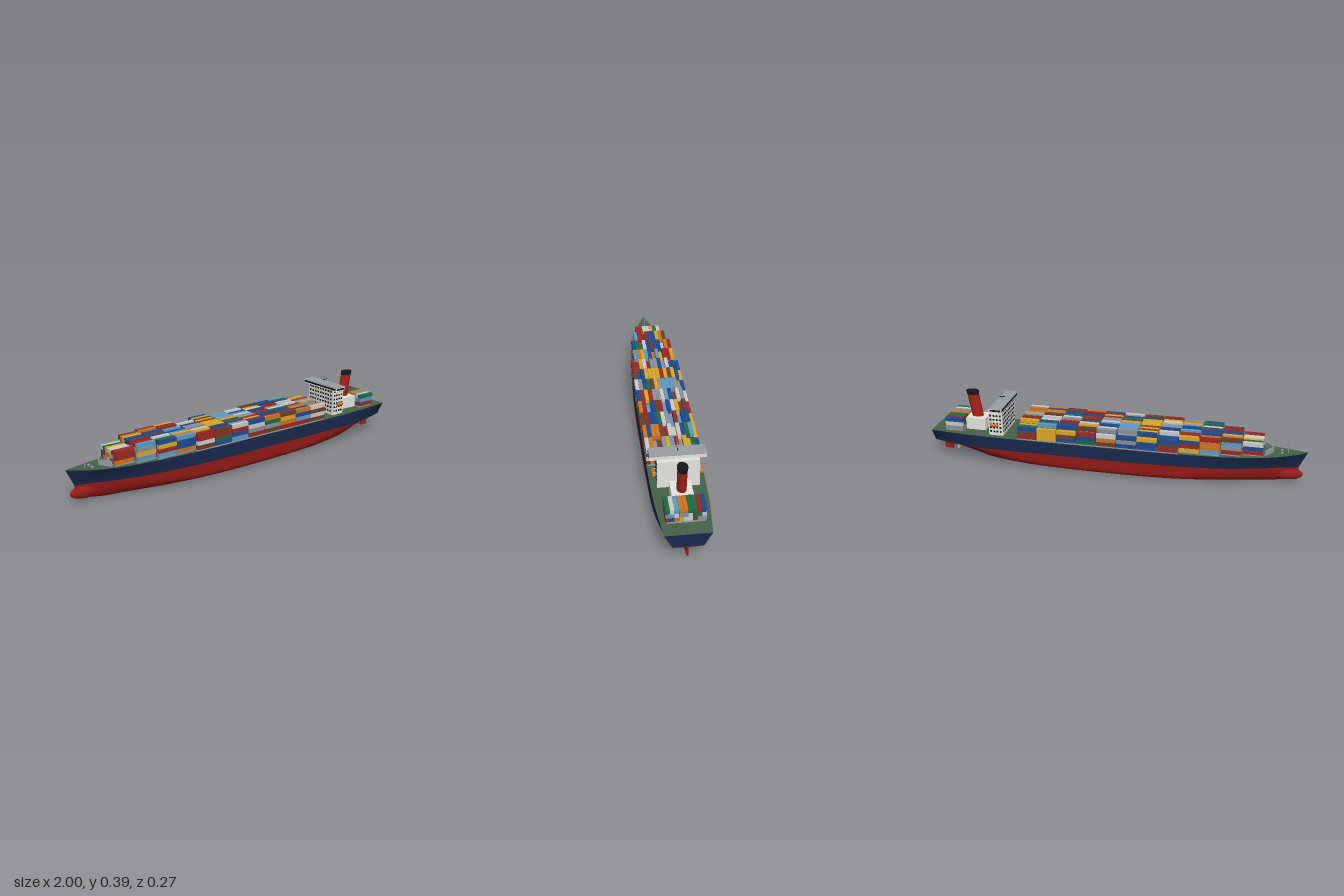
import * as THREE from 'three';
import { mergeGeometries } from 'three/addons/utils/BufferGeometryUtils.js';

const mat = (color, side = THREE.FrontSide) => new THREE.MeshStandardMaterial({ color, side });
const NAVY = mat(0x18284c), RED = mat(0x961c16, THREE.DoubleSide), GREEN = mat(0x46614a);
const WHITE = mat(0xe6e6e0), GREY = mat(0x9a9fa3), DARK = mat(0x15181c), FUNNEL = mat(0xa8201a);
const ORANGE = mat(0xe0701c), BRASS = mat(0xc09a50, THREE.DoubleSide);
const CARGO = [0x9c2820, 0x9c2820, 0x1c4a94, 0x1c4a94, 0x5a9ccb, 0xd07420, 0xdaa824, 0x1f6b42, 0x8d9296, 0xd4d4d0, 0x6a3f2c];

// Smooth interpolation through [x, value] pairs
function curve(pts) {
  const slope = i => {
    const a = pts[Math.max(i - 1, 0)], b = pts[Math.min(i + 1, pts.length - 1)];
    return (b[1] - a[1]) / (b[0] - a[0]);
  };
  return x => {
    let i = 0;
    while (i < pts.length - 2 && x > pts[i + 1][0]) i++;
    const [x0, y0] = pts[i], [x1, y1] = pts[i + 1], h = x1 - x0, t = (x - x0) / h;
    const t2 = t * t, t3 = t2 * t;
    return (2 * t3 - 3 * t2 + 1) * y0 + (t3 - 2 * t2 + t) * h * slope(i)
      + (3 * t2 - 2 * t3) * y1 + (t3 - t2) * h * slope(i + 1);
  };
}

// Skin a list of sections, each a list of [x, y, z]
function loft(sections) {
  const n = sections[0].length, index = [];
  for (let i = 0; i < sections.length - 1; i++) {
    for (let j = 0; j < n - 1; j++) {
      const a = i * n + j, b = a + n;
      index.push(a, b, a + 1, b, b + 1, a + 1);
    }
  }
  const g = new THREE.BufferGeometry();
  g.setAttribute('position', new THREE.Float32BufferAttribute(sections.flat(2), 3));
  g.setIndex(index);
  g.computeVertexNormals();
  return g;
}

function add(parent, name, geometry, material, x = 0, y = 0, z = 0) {
  const m = new THREE.Mesh(geometry, material);
  m.name = name;
  m.position.set(x, y, z);
  parent.add(m);
  return m;
}
const box = (w, h, d, x = 0, y = 0, z = 0) => new THREE.BoxGeometry(w, h, d).translate(x, y, z);

// Hull lines
const WATER = 0.09;
const deckHalf = curve([[-1, 0.001], [-0.95, 0.026], [-0.9, 0.045], [-0.8, 0.076], [-0.6, 0.11], [-0.4, 0.126], [-0.2, 0.132], [0.1, 0.133], [0.6, 0.132], [0.8, 0.125], [1, 0.107]]);
const waterHalf = curve([[-1, 0.001], [-0.9, 0.022], [-0.8, 0.051], [-0.6, 0.098], [-0.4, 0.122], [-0.2, 0.132], [0.1, 0.133], [0.6, 0.132], [0.75, 0.126], [0.9, 0.1], [1, 0.07]]);
const deckY = curve([[-1, 0.176], [-0.9, 0.167], [-0.75, 0.161], [-0.6, 0.16], [1, 0.16]]);
const keelY = curve([[-1, 0.03], [-0.92, 0.016], [-0.82, 0.003], [-0.7, 0], [0.6, 0], [0.7, 0.002], [0.8, 0.014], [0.86, 0.037], [0.92, 0.072], [1, 0.087]]);
const fullness = curve([[-1, 1.5], [-0.8, 1.9], [-0.6, 2.8], [-0.3, 5], [0, 6], [0.3, 5], [0.55, 2.8], [0.75, 1.3], [0.88, 1], [1, 1.4]]);
const rake = s => 0.04 * Math.max(0, (-s - 0.6) / 0.4) ** 2;
const stations = Array.from({ length: 81 }, (_, i) => -1 + i / 40);

function lowerSection(s) {
  const w = waterHalf(s), k = keelY(s), e = 2 / fullness(s), out = [];
  for (let j = -14; j <= 14; j++) {
    const a = j / 14 * Math.PI / 2;
    const c = Math.max(0, Math.cos(a));
    out.push([s + rake(s), k + (WATER - k) * (1 - c ** e), Math.sign(j) * w * Math.abs(Math.sin(a)) ** e]);
  }
  return out;
}

function sideSection(s, side) {
  const out = [];
  for (let j = 0; j <= 6; j++) {
    const t = j / 6;
    const half = THREE.MathUtils.lerp(waterHalf(s), deckHalf(s), t ** 1.3);
    out.push([s + rake(s) * (1 - t), THREE.MathUtils.lerp(WATER, deckY(s), t), side * half]);
  }
  return side > 0 ? out : out.reverse();
}

function buildHull(ship) {
  const hull = new THREE.Group();
  hull.name = 'hull';
  ship.add(hull);
  add(hull, 'lowerHull', loft(stations.map(lowerSection)), RED);
  const last = lowerSection(1);
  add(hull, 'lowerSternCap', loft([last, last.map(() => [1, WATER, 0])]), RED);
  for (const side of [1, -1]) add(hull, 'hullSide', loft(stations.map(s => sideSection(s, side))), NAVY);
  const line = (x, y, h) => [[x, y, -h], [x, y, h]];
  add(hull, 'transom', loft([line(1, WATER, waterHalf(1)), line(1, deckY(1), deckHalf(1))]), NAVY);
  add(hull, 'deck', loft(stations.map(s => line(s, deckY(s), deckHalf(s)).reverse())), GREEN);
  add(hull, 'bulbousBow', new THREE.SphereGeometry(1, 28, 18).scale(0.085, 0.033, 0.025), RED, -0.9, 0.05);
  add(hull, 'rudder', box(0.045, 0.08, 0.01), RED, 0.952, 0.052);
}

function buildPropeller(ship) {
  const prop = new THREE.Group();
  prop.name = 'propeller';
  prop.position.set(0.892, 0.039, 0);
  ship.add(prop);
  add(prop, 'hub', new THREE.CylinderGeometry(0.004, 0.006, 0.024, 14).rotateZ(-Math.PI / 2), BRASS);
  add(prop, 'shaft', new THREE.CylinderGeometry(0.004, 0.004, 0.05, 10).rotateZ(Math.PI / 2), BRASS, -0.025);
  for (let i = 0; i < 5; i++) {
    const blade = new THREE.SphereGeometry(1, 12, 8).scale(0.0015, 0.014, 0.008).rotateY(0.6).translate(0, 0.017, 0);
    add(prop, 'blade', blade.rotateX(i * Math.PI * 0.4 + 0.3), BRASS);
  }
}

// Container bays, merged into one mesh per colour
function buildCargo(ship) {
  let seed = 17;
  const rand = () => (seed = (seed * 16807) % 2147483647) / 2147483647;
  const COL = 0.0205, TIER = 0.022, BASE = 0.168;
  const byColor = new Map(), coamings = [];
  const bays = [7, 9, 11, 11, 13, 13, 13, 13, 13, 13, 13, 13].map((cols, i) => ({ x: -0.725 + i * 0.107, cols, max: i ? 4 : 3, len: 0.102 }));
  bays.push({ x: 0.873, cols: 9, max: 3, len: 0.098 });
  bays.forEach(({ x, cols, max, len }) => {
    coamings.push(box(len, 0.012, cols * COL - 0.012, x, 0.163, 0));
    for (let c = 0; c < cols; c++) {
      const outer = c === 0 && cols === 13;
      const tiers = max === 4 && (outer || (c < cols - 1 && rand() < 0.25)) ? 3 : max;
      for (let t = 0; t < tiers; t++) {
        const color = CARGO[Math.floor(rand() * CARGO.length)];
        if (!byColor.has(color)) byColor.set(color, []);
        byColor.get(color).push(box(len, TIER - 0.0012, COL - 0.001, x, BASE + (t + 0.5) * TIER, (c - (cols - 1) / 2) * COL));
      }
    }
  });
  add(ship, 'hatchCoamings', mergeGeometries(coamings), GREY);
  for (const [color, list] of byColor) add(ship, 'containers', mergeGeometries(list), mat(color));
}

function buildBridge(ship) {
  const g = new THREE.Group();
  g.name = 'bridge';
  ship.add(g);
  add(g, 'accommodationBlock', box(0.078, 0.147, 0.2), WHITE, 0.633, 0.2325);
  add(g, 'bridgeWings', box(0.066, 0.023, 0.266), WHITE, 0.618, 0.3145);
  add(g, 'bridgeRoof', box(0.07, 0.003, 0.268), GREY, 0.618, 0.326);
  add(g, 'bridgeWindows', box(0.058, 0.01, 0.268), DARK, 0.618, 0.315);
  add(g, 'bridgeFrontWindows', box(0.002, 0.01, 0.255), DARK, 0.5845, 0.315);
  // Window grids on both sides and the forward face
  const panes = [];
  for (let r = 0; r < 6; r++) {
    const y = 0.182 + r * 0.0225;
    for (let c = 0; c < 4; c++) panes.push(box(0.01, 0.01, 0.202, 0.606 + c * 0.018, y, 0));
    for (let c = 0; c < 9; c++) panes.push(box(0.002, 0.01, 0.012, 0.594, y, (c - 4) * 0.021));
  }
  add(g, 'windows', mergeGeometries(panes), DARK);
  for (const side of [1, -1]) {
    const boat = new THREE.CapsuleGeometry(0.009, 0.03, 6, 14).rotateZ(Math.PI / 2);
    add(g, 'lifeboat', boat, ORANGE, 0.637, 0.222, side * 0.112);
    for (const x of [0.62, 0.654]) add(g, 'davit', box(0.003, 0.003, 0.022), GREY, x, 0.234, side * 0.108);
  }
  add(g, 'radarMast', new THREE.CylinderGeometry(0.0015, 0.003, 0.065, 8), GREY, 0.624, 0.359);
  add(g, 'radarYard', box(0.004, 0.003, 0.045), GREY, 0.624, 0.361);
  add(g, 'radarScanner', box(0.03, 0.004, 0.004), DARK, 0.624, 0.345);
}

function buildFunnel(ship) {
  const g = new THREE.Group();
  g.name = 'funnel';
  ship.add(g);
  add(g, 'engineCasing', box(0.11, 0.066, 0.1), WHITE, 0.765, 0.192);
  // Oval stack section, sheared aft as it rises
  const stack = (y0, y1, grow = 1) => {
    const geo = new THREE.CylinderGeometry(grow, grow, y1 - y0, 32).scale(0.032, 1, 0.0225).translate(0, (y0 + y1) / 2, 0);
    const shear = new THREE.Matrix4().makeShear(0, 0, 0.16, 0, 0, 0);
    return geo.translate(0, -0.22, 0).applyMatrix4(shear).translate(0.768, 0.22, 0);
  };
  add(g, 'stack', stack(0.215, 0.35), FUNNEL);
  add(g, 'stackTop', stack(0.348, 0.366, 1.03), DARK);
  add(g, 'stackRim', stack(0.364, 0.368, 1.1), DARK);
}

function buildForedeck(ship) {
  // V-shaped breakwater ahead of the first bay
  for (const side of [1, -1]) {
    const wall = add(ship, 'breakwater', box(0.073, 0.03, 0.004), GREY, -0.808, 0.176, side * 0.029);
    wall.rotation.y = -side * Math.atan2(0.058, 0.04);
  }
  add(ship, 'foremast', new THREE.CylinderGeometry(0.0015, 0.003, 0.095, 8), GREY, -0.902, 0.213);
  for (const side of [1, -1]) add(ship, 'windlass', box(0.012, 0.008, 0.01), GREY, -0.872, 0.168, side * 0.018);
}

export function createModel() {
  const ship = new THREE.Group();
  ship.name = 'containerShip';
  buildHull(ship);
  buildPropeller(ship);
  buildCargo(ship);
  buildBridge(ship);
  buildFunnel(ship);
  buildForedeck(ship);
  return ship;
}
